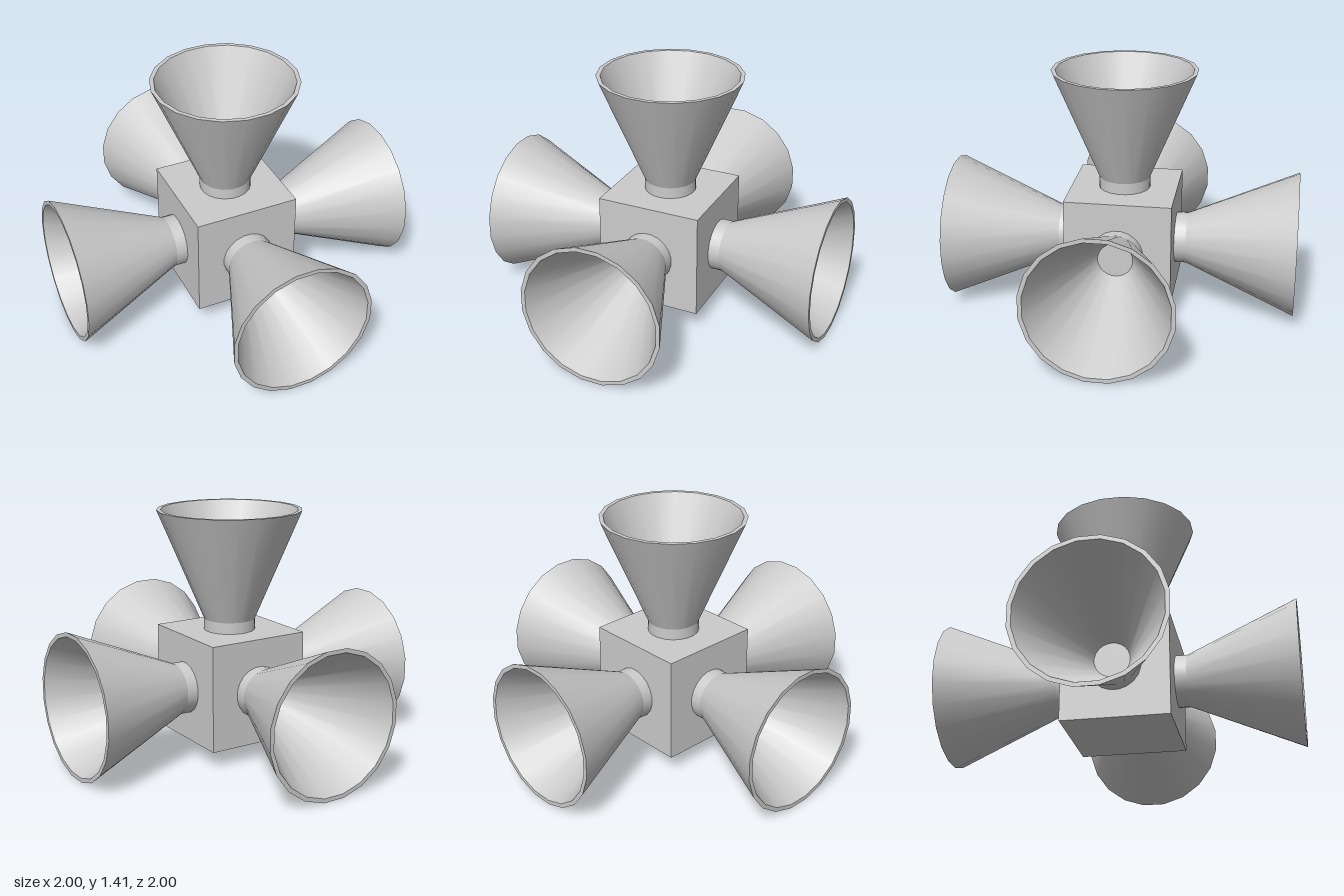
import * as THREE from 'three';
import { mergeGeometries } from 'three/addons/utils/BufferGeometryUtils.js';

const SIDES = 20;
const CENTRE = 0.41; // height of the hub centre
const HALF = 0.305; // half the hub's edge

// Sweeps each profile segment on its own, so the edges between them stay sharp
function turned(profile) {
  const bands = [];
  for (let i = 0; i + 1 < profile.length; i++) {
    const pair = [profile[i], profile[i + 1]].map(([r, y]) => new THREE.Vector2(r, y));
    bands.push(new THREE.LatheGeometry(pair, SIDES, Math.PI / SIDES));
  }
  return mergeGeometries(bands);
}

export function createModel() {
  const model = new THREE.Group();
  model.name = 'hornCluster';
  const material = new THREE.MeshStandardMaterial({ color: 0xcccccc });

  // Central cube
  const hub = new THREE.Mesh(new THREE.BoxGeometry(2 * HALF, 2 * HALF, 2 * HALF), material);
  hub.name = 'hub';
  hub.position.y = CENTRE;
  model.add(hub);

  // Collar, and a hollow flare with a flat rim and a throat floor
  const collar = turned([[0.148, HALF - 0.01], [0.148, 0.37]]);
  const flare = turned([[0.148, 0.37], [0.414, 1], [0.39, 1], [0.1, 0.37], [0, 0.37]]);

  // One horn on every face but the bottom
  const directions = {
    top: [0, 1, 0],
    left: [1, 0, 0],
    right: [-1, 0, 0],
    front: [0, 0, 1],
    back: [0, 0, -1],
  };
  const up = new THREE.Vector3(0, 1, 0);
  for (const [side, dir] of Object.entries(directions)) {
    const horn = new THREE.Group();
    horn.name = side + 'Horn';
    const collarMesh = new THREE.Mesh(collar, material);
    collarMesh.name = 'collar';
    const flareMesh = new THREE.Mesh(flare, material);
    flareMesh.name = 'flare';
    horn.add(collarMesh, flareMesh);
    horn.position.y = CENTRE;
    horn.quaternion.setFromUnitVectors(up, new THREE.Vector3(...dir));
    model.add(horn);
  }
  return model;
}
